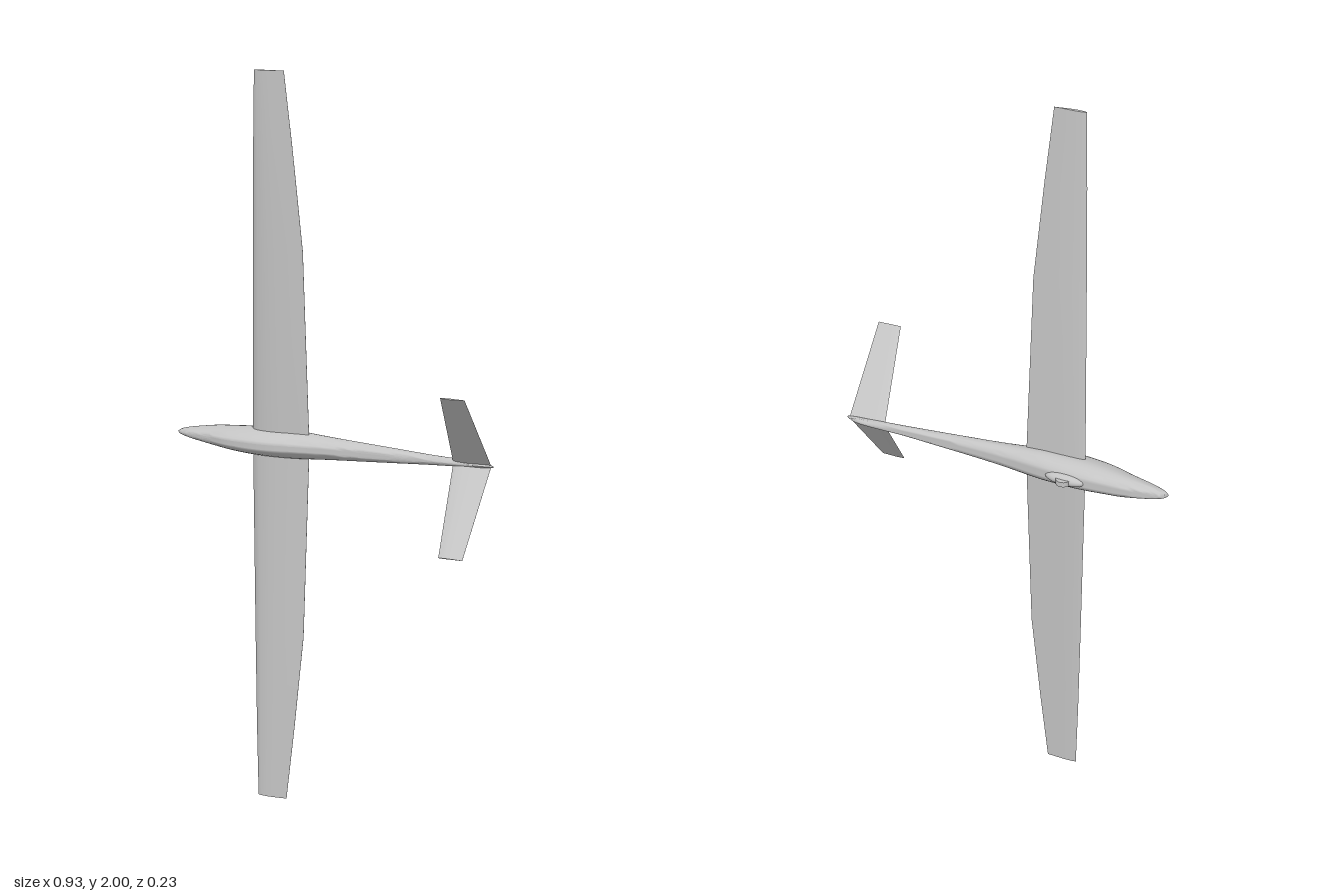
import * as THREE from 'three';
import { toCreasedNormals } from 'three/addons/utils/BufferGeometryUtils.js';

const grey = new THREE.MeshStandardMaterial({ color: 0xc4c4c4 });
grey.name = 'light grey';

// Skin a list of equal-sized closed rings and cap both ends, facing outward
function loft(rings, crease) {
  const n = rings[0].length, m = rings.length, pos = [], idx = [];
  const mean = (r) => r.reduce((a, p) => a.add(p), new THREE.Vector3()).divideScalar(n);
  rings.forEach((r) => r.forEach((p) => pos.push(p.x, p.y, p.z)));
  for (let i = 0; i < m - 1; i++) {
    for (let j = 0; j < n; j++) {
      const a = i * n + j, b = i * n + (j + 1) % n;
      idx.push(a, b, a + n, b, b + n, a + n);
    }
  }
  const c0 = mean(rings[0]), c1 = mean(rings[m - 1]);
  pos.push(c0.x, c0.y, c0.z, c1.x, c1.y, c1.z);
  for (let j = 0; j < n; j++) {
    const k = (j + 1) % n, e = (m - 1) * n;
    idx.push(m * n, k, j, m * n + 1, e + j, e + k);
  }
  // Reverse the corners if the enclosed volume comes out negative
  const v = (i) => new THREE.Vector3(pos[3 * i] - c0.x, pos[3 * i + 1] - c0.y, pos[3 * i + 2] - c0.z);
  let volume = 0;
  for (let i = 0; i < idx.length; i += 3) volume += v(idx[i]).dot(v(idx[i + 1]).cross(v(idx[i + 2])));
  if (volume < 0) idx.reverse();
  const g = new THREE.BufferGeometry();
  g.setAttribute('position', new THREE.Float32BufferAttribute(pos, 3));
  g.setIndex(idx);
  return toCreasedNormals(g, crease);
}

// Aerofoil outline: [chord fraction, height fraction]
const FOIL = [[0, 0], [0.03, 0.025], [0.12, 0.055], [0.3, 0.075], [0.5, 0.068], [0.75, 0.038], [1, 0.002],
  [1, -0.002], [0.7, -0.018], [0.4, -0.038], [0.15, -0.036], [0.03, -0.018]];

// Stations: [leading x, leading z, trailing x, trailing z, y, thickness]
function panel(stations, normal, side) {
  return loft(stations.map(([lx, lz, tx, tz, y, t]) => FOIL.map(([u, h]) => {
    const d = h * t * (tx - lx);
    return new THREE.Vector3(lx + u * (tx - lx), side * (y + normal[0] * d), lz + u * (tz - lz) + normal[1] * d);
  })), 0.6);
}

export function createModel() {
  const model = new THREE.Group();
  model.name = 'glider';
  const body = new THREE.Group();
  body.name = 'airframe';
  body.position.y = 1;
  model.add(body);
  const add = (name, geometry) => {
    const mesh = new THREE.Mesh(geometry, grey);
    mesh.name = name;
    body.add(mesh);
    return mesh;
  };

  // Fuselage stations: x, belly z, spine z, half width
  const hull = [
    [-0.467, -0.044, -0.04, 0.002], [-0.455, -0.056, -0.029, 0.009], [-0.42, -0.068, -0.016, 0.017],
    [-0.35, -0.082, 0.0, 0.028], [-0.3, -0.087, 0.015, 0.033], [-0.25, -0.091, 0.023, 0.037],
    [-0.2, -0.093, 0.026, 0.039], [-0.15, -0.091, 0.022, 0.039], [-0.1, -0.087, 0.011, 0.038],
    [0, -0.077, -0.009, 0.031], [0.1, -0.073, -0.022, 0.025], [0.2, -0.072, -0.032, 0.019],
    [0.3, -0.072, -0.041, 0.013], [0.4, -0.077, -0.049, 0.009], [0.44, -0.073, -0.053, 0.007],
    [0.465, -0.062, -0.057, 0.002],
  ];
  const curve = (f) => new THREE.CatmullRomCurve3(hull.map(f), false, 'catmullrom', 0.5);
  const along = curve((s) => new THREE.Vector3(s[0], 0, 0));
  const shape = curve((s) => new THREE.Vector3(s[1], s[2], s[3]));
  const rings = [];
  for (let i = 0; i <= 60; i++) {
    const x = along.getPoint(i / 60).x, s = shape.getPoint(i / 60);
    const mid = s.x + (s.y - s.x) * 0.42, ring = [];
    for (let j = 0; j < 28; j++) {
      const a = (j / 28) * Math.PI * 2, c = Math.cos(a);
      const y = s.z * Math.sin(a) * (1 - 0.2 * Math.max(0, c));
      ring.push(new THREE.Vector3(x, y, mid + c * (c > 0 ? s.y - mid : mid - s.x)));
    }
    rings.push(ring);
  }
  add('fuselage', loft(rings, 1));

  for (const side of [1, -1]) {
    const label = side > 0 ? 'upper' : 'lower';
    // Long tapered wing with slight dihedral
    add(label + 'Wing', panel([
      [-0.228, -0.031, -0.06, -0.038, 0, 1],
      [-0.215, -0.014, -0.07, -0.021, 0.53, 1],
      [-0.207, -0.004, -0.094, -0.01, 0.8, 1],
      [-0.2, 0.002, -0.115, -0.003, 1, 0.9],
    ], [0, 1], side));
    // V-tail surface
    add(label + 'TailFin', panel([
      [0.353, -0.056, 0.458, -0.062, 0.002, 0.5],
      [0.39, 0.113, 0.456, 0.11, 0.21, 0.5],
    ], [-0.62, 0.79], side));
  }

  // Belly wheel and its fairing
  const fairing = add('wheelFairing', new THREE.SphereGeometry(1, 24, 16));
  fairing.scale.set(0.056, 0.016, 0.019);
  fairing.position.set(-0.195, 0, -0.087);
  const wheel = add('wheel', toCreasedNormals(new THREE.CylinderGeometry(0.02, 0.02, 0.014, 24), 0.6));
  wheel.position.set(-0.195, 0, -0.097);

  return model;
}
